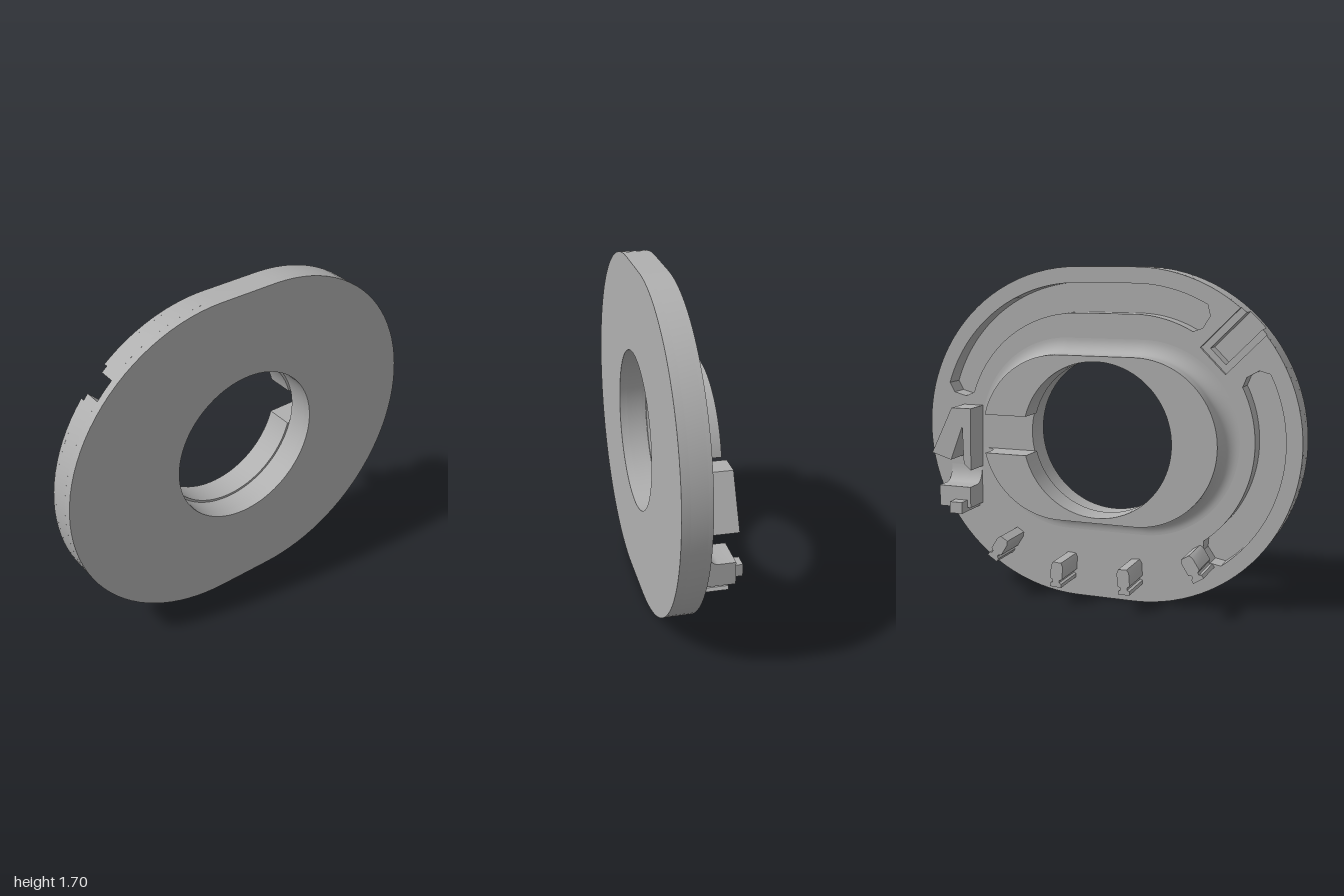
import * as THREE from 'three';
import { toCreasedNormals } from 'three/addons/utils/BufferGeometryUtils.js';

const CY = 0.85, BACK = 0.03, TOP = -0.11;
const rad = (d) => d * Math.PI / 180;
const V = (x, y) => new THREE.Vector2(x, y);

// Points along an arc centred at (cx, 0), angles in radians
function arc(cx, r, a0, a1, n = 32) {
  const pts = [];
  for (let i = 0; i <= n; i++) {
    const a = a0 + (a1 - a0) * i / n;
    pts.push(V(cx + r * Math.cos(a), r * Math.sin(a)));
  }
  return pts;
}

// Flat shape extruded between two z levels
function slab(pts, holes, z0, z1) {
  const shape = new THREE.Shape(pts);
  holes.forEach((h) => shape.holes.push(new THREE.Path(h)));
  const g = new THREE.ExtrudeGeometry(shape, { depth: z1 - z0, bevelEnabled: false });
  g.translate(0, 0, z0);
  return toCreasedNormals(g, 0.5);
}

// Oblong plate outline with an optional radial slot of width w cut in the rim
function plateOutline(w, inner) {
  const c = 0.15, R = 0.85, right = arc(c, R, rad(-90), rad(90), 48);
  if (!w) return [...right, ...arc(-c, R, rad(90), rad(270), 48)];
  const d = Math.asin(w / 2 / R), k = Math.SQRT1_2;
  const corner = (s) => V(-c - k * inner - k * s * w / 2, k * inner - k * s * w / 2);
  return [...right, ...arc(-c, R, rad(90), rad(135) - d, 14), corner(-1), corner(1),
    ...arc(-c, R, rad(135) + d, rad(270), 36)];
}

// Curved grooves in the back of the plate, with softened ends
function grooves() {
  const ro = 0.77, ri = 0.62, e = rad(3), m = 0.04;
  const cx = 0.15, a = rad(15), b = rad(122), s = rad(150), t = rad(236);
  const at = (c, r, ang) => V(c + r * Math.cos(ang), r * Math.sin(ang));
  const upper = [at(cx, ri + m, a), at(cx, ro - m, a),
    ...arc(cx, ro, a + e, rad(90)), ...arc(-cx, ro, rad(90), b - e, 14),
    at(-cx, ro - m, b), at(-cx, ri + m, b),
    ...arc(-cx, ri, b - e, rad(90), 14), ...arc(cx, ri, rad(90), a + e)];
  const side = [at(-cx, ri + m, s), at(-cx, ro - m, s), ...arc(-cx, ro, s + e, t - e),
    at(-cx, ro - m, t), at(-cx, ri + m, t), ...arc(-cx, ri, t - e, s + e)];
  return [upper, side];
}

// Oblong collar outline, open at the right between y = -gap and y = gap
const COLLAR = 0.42, SPREAD = 0.2, GAP = 0.1;
function collarOutline(r) {
  const a = Math.asin(GAP / r);
  return [...arc(SPREAD, r, a, rad(90)), ...arc(-SPREAD, r, rad(90), rad(270), 48),
    ...arc(SPREAD, r, rad(270), rad(360) - a)];
}

// Concave flare from the collar down to the plate: [outward offset, z]
const flare = Array.from({ length: 11 }, (_, i) => {
  const t = rad(9 * i);
  return [0.075 * (1 - Math.sin(t)), BACK - 0.065 * (1 - Math.cos(t))];
});

function flareGeometry() {
  const pos = [], idx = [];
  const rows = flare.map(([f]) => collarOutline(COLLAR + f));
  const n = rows[0].length;
  rows.forEach((row, j) => row.forEach((p, i) => {
    pos.push(p.x, p.y, flare[j][1]);
    if (j && i) {
      const d = j * n + i, c = d - 1, b = d - n, a = b - 1;
      idx.push(a, c, b, b, c, d);
    }
  }));
  const g = new THREE.BufferGeometry();
  g.setAttribute('position', new THREE.Float32BufferAttribute(pos, 3));
  g.setIndex(idx);
  g.computeVertexNormals();
  return g;
}

export function createModel() {
  const grey = new THREE.MeshStandardMaterial({ color: 0xb0b0b0, side: THREE.DoubleSide });
  grey.name = 'grey';
  const model = new THREE.Group();
  model.name = 'flangedRing';
  const body = new THREE.Group();
  body.name = 'body';
  body.position.y = CY;
  model.add(body);
  const add = (name, geo) => {
    const m = new THREE.Mesh(geo, grey);
    m.name = name;
    body.add(m);
    return m;
  };

  // Plate in three layers: solid face, grooved core, grooved back with wider slot
  const bore = arc(0, 0.405, 0, rad(357), 84);
  add('plateFace', slab(plateOutline(0), [bore], 0.13, 0.17));
  add('plateCore', slab(plateOutline(0.11, 0.6), [bore, ...grooves()], 0.05, 0.13));
  add('plateBack', slab(plateOutline(0.18, 0.57), [bore, ...grooves()], BACK, 0.05));

  // Collar with a gap on its left, and the flare around its foot
  const ri = 0.393, ai = Math.asin(GAP / ri);
  add('collar', slab([...collarOutline(COLLAR), ...arc(0, ri, rad(360) - ai, ai, 80)], [], TOP, BACK));
  add('collarFlare', flareGeometry());
  for (const s of [1, -1]) {
    const foot = Math.sqrt(COLLAR ** 2 - GAP ** 2) + SPREAD;
    const pts = flare.map(([f, z]) =>
      V(SPREAD + Math.sqrt((COLLAR + f) ** 2 - GAP ** 2), z));
    const g = slab([V(foot - 0.01, BACK), ...pts, V(foot - 0.01, -0.035)], [], 0, 0.004);
    g.rotateX(Math.PI / 2);
    g.translate(0, s > 0 ? GAP + 0.004 : -GAP, 0);
    add('flareEnd', g);
  }

  // Ribbed pegs along the lower edge, pointing outwards
  const half = [[0.022, 0.065], [0.032, 0.045], [0.032, -0.02], [0.018, -0.028],
    [0.018, -0.04], [0.03, -0.046], [0.03, -0.065]];
  const section = [...half.map(([x, y]) => V(-x, y)), ...half.map(([x, y]) => V(x, y)).reverse()];
  for (const [x, y, turn] of [[0.515, -0.585, 32], [0.19, -0.69, 4], [-0.17, -0.69, -4], [-0.52, -0.585, -32]]) {
    const peg = add('peg', slab(section, [], -0.17, BACK));
    peg.position.set(x, y, 0);
    peg.rotation.z = rad(turn);
  }

  // Forked clip beside the collar gap
  add('clipFork', slab([V(0.92, -0.118), V(0.8, 0.125), V(0.69, 0.125), V(0.695, -0.2),
    V(0.735, -0.165), V(0.74, 0.03), V(0.81, -0.15)], [], TOP, BACK));

  // Curved rest below the clip: side profile swept across x
  const rest = [V(-0.03, -0.4), V(0.11, -0.4), V(0.11, -0.29)];
  for (let i = 0; i <= 8; i++) {
    const t = rad(90 - 11.25 * i);
    rest.push(V(-0.03 + 0.06 * (1 - Math.cos(t)), -0.2 - 0.09 * Math.sin(t)));
  }
  const restGeo = slab(rest, [], -0.09, 0.09);
  restGeo.rotateY(Math.PI / 2);
  restGeo.translate(0.79, 0, 0);
  add('clipRest', restGeo);

  // Small post at the bottom of the rest
  const post = new THREE.BoxGeometry(0.07, 0.06, 0.2);
  post.translate(0.755, -0.39, -0.07);
  add('clipPost', post);

  return model;
}
